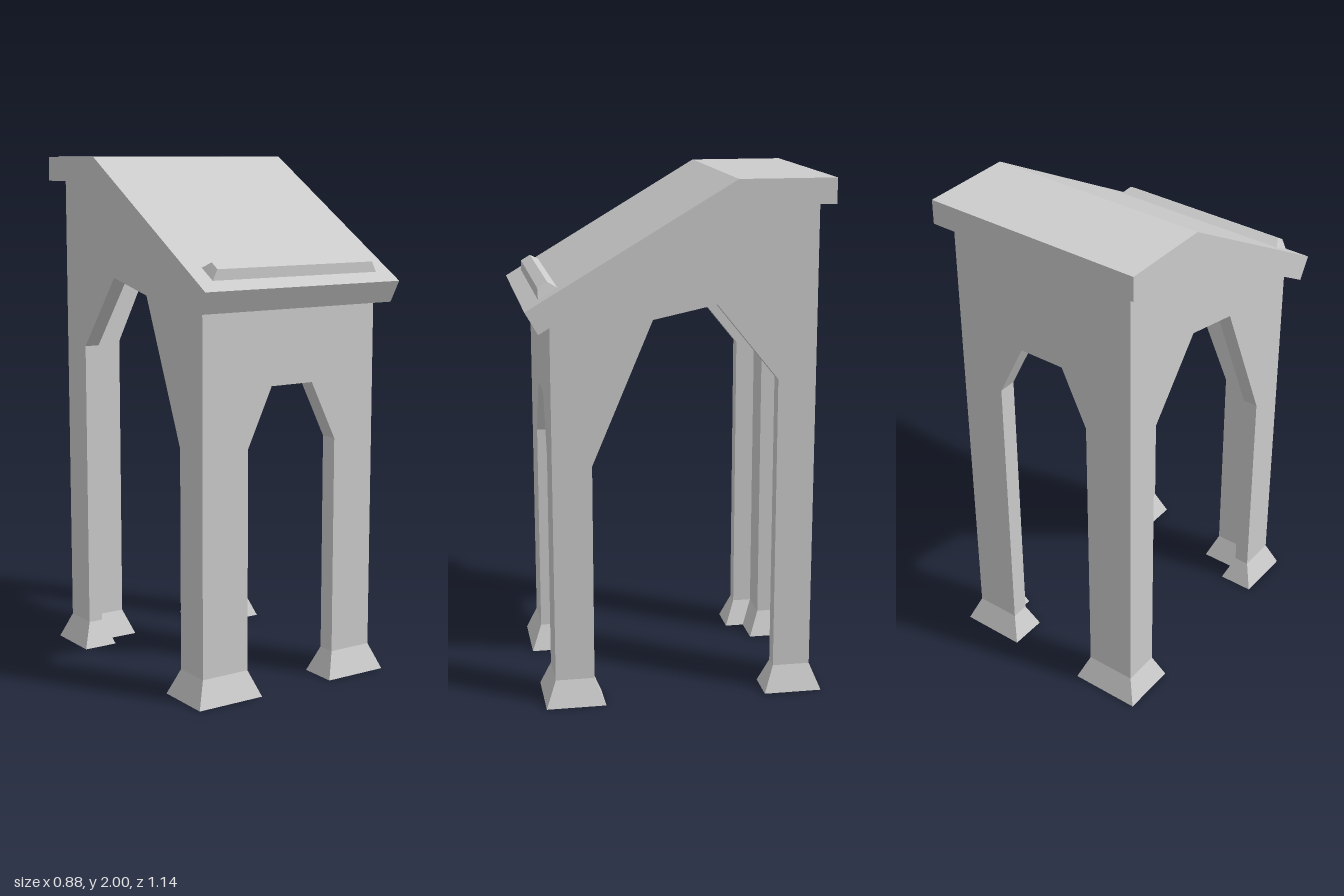
import * as THREE from 'three';
import { ConvexGeometry } from 'three/addons/geometries/ConvexGeometry.js';

const material = new THREE.MeshStandardMaterial({ color: 0xcccccc, flatShading: true });

// Outer faces, wall thicknesses and the inner ends of the legs
const SIDE = 0.39, FRONT = 0.48, BACK = -0.52;
const SIDE_T = 0.06, END_T = 0.07;
const LEG_X = { 1: 0.21, '-1': -0.19 };
const LEG_Z = { 1: 0.33, '-1': -0.375 };
const FOOT_H = 0.1, FLARE = 0.04;

const toShape = (points) => new THREE.Shape(points.map(([x, y]) => new THREE.Vector2(x, y)));
const extrude = (points, depth) =>
  new THREE.ExtrudeGeometry(toShape(points), { depth, bevelEnabled: false });

// Profile given as (z, y), swept along x from x0 to x1
function sweepX(points, x0, x1) {
  return extrude(points, x1 - x0).rotateY(-Math.PI / 2).translate(x1, 0, 0);
}

// Front or back wall with a three-sided arch between its legs
function endWall(z, spring, top) {
  const w = SIDE - SIDE_T;
  return extrude([
    [-w, FOOT_H], [LEG_X[-1], FOOT_H], [LEG_X[-1], spring], [-0.085, spring + 0.225],
    [0.1, spring + 0.225], [LEG_X[1], spring], [LEG_X[1], FOOT_H], [w, FOOT_H],
    [w, top], [-w, top],
  ], END_T).translate(0, 0, z);
}

// L-shaped leg outline at one corner, grown outwards by g
function legOutline(sx, sz, g) {
  const oz = sz > 0 ? FRONT : BACK;
  const x0 = sx * (SIDE + g), x1 = sx * (SIDE - SIDE_T - g), x2 = LEG_X[sx] - sx * g;
  const z0 = oz + sz * g, z1 = oz - sz * (END_T + g), z2 = LEG_Z[sz] - sz * g;
  const loop = [[x0, z0], [x2, z0], [x2, z1], [x1, z1], [x1, z2], [x0, z2]]
    .map(([x, z]) => new THREE.Vector2(x, -z));
  return THREE.ShapeUtils.isClockWise(loop) ? loop.reverse() : loop;
}

// Flared foot lofted between two leg outlines
function footGeometry(sx, sz) {
  const low = legOutline(sx, sz, FLARE), high = legOutline(sx, sz, 0);
  const pos = [];
  const put = (p, y) => pos.push(p.x, y, -p.y);
  low.forEach((a, i) => {
    const j = (i + 1) % low.length;
    put(a, 0); put(low[j], 0); put(high[j], FOOT_H);
    put(a, 0); put(high[j], FOOT_H); put(high[i], FOOT_H);
  });
  for (const [a, b, c] of THREE.ShapeUtils.triangulateShape(low, [])) {
    put(low[a], 0); put(low[c], 0); put(low[b], 0);
  }
  for (const [a, b, c] of THREE.ShapeUtils.triangulateShape(high, [])) {
    put(high[a], FOOT_H); put(high[b], FOOT_H); put(high[c], FOOT_H);
  }
  const geometry = new THREE.BufferGeometry();
  geometry.setAttribute('position', new THREE.Float32BufferAttribute(pos, 3));
  geometry.computeVertexNormals();
  return geometry;
}

export function createModel() {
  const group = new THREE.Group();
  group.name = 'lectern';
  const add = (name, geometry) => {
    const mesh = new THREE.Mesh(geometry, material);
    mesh.name = name;
    group.add(mesh);
  };

  // Slanted reading top with a flat rear shelf
  add('deskTop', sweepX([
    [0.525, 1.457], [0.573, 1.54], [-0.205, 2], [-0.57, 2], [-0.57, 1.905], [-0.225, 1.905],
  ], -0.438, 0.438));

  // Book rest: a block with tapered ends standing on the slope
  const rest = [];
  for (const s of [-1, 1]) {
    rest.push(
      new THREE.Vector3(s * 0.37, 1.573, 0.517), new THREE.Vector3(s * 0.37, 1.615, 0.446),
      new THREE.Vector3(s * 0.35, 1.613, 0.517), new THREE.Vector3(s * 0.35, 1.635, 0.481));
  }
  add('bookRest', new ConvexGeometry(rest));

  // Arched front and back walls
  add('frontWall', endWall(FRONT - END_T, 0.945, 1.484));
  add('backWall', endWall(BACK, 1.25, 1.905));

  // Arched side walls following the slope of the top
  const sideProfile = [
    [FRONT, FOOT_H], [FRONT, 1.484], [-0.225, 1.905], [BACK, 1.905], [BACK, FOOT_H],
    [LEG_Z[-1], FOOT_H], [LEG_Z[-1], 1.25], [-0.14, 1.54], [0.1, 1.49],
    [LEG_Z[1], 0.945], [LEG_Z[1], FOOT_H],
  ];
  add('leftWall', sweepX(sideProfile, SIDE - SIDE_T, SIDE));
  add('rightWall', sweepX(sideProfile, -SIDE, -SIDE + SIDE_T));

  // Four flared feet
  for (const sx of [1, -1]) {
    for (const sz of [1, -1]) {
      add(`${sz > 0 ? 'front' : 'back'}${sx > 0 ? 'Left' : 'Right'}Foot`, footGeometry(sx, sz));
    }
  }
  return group;
}
